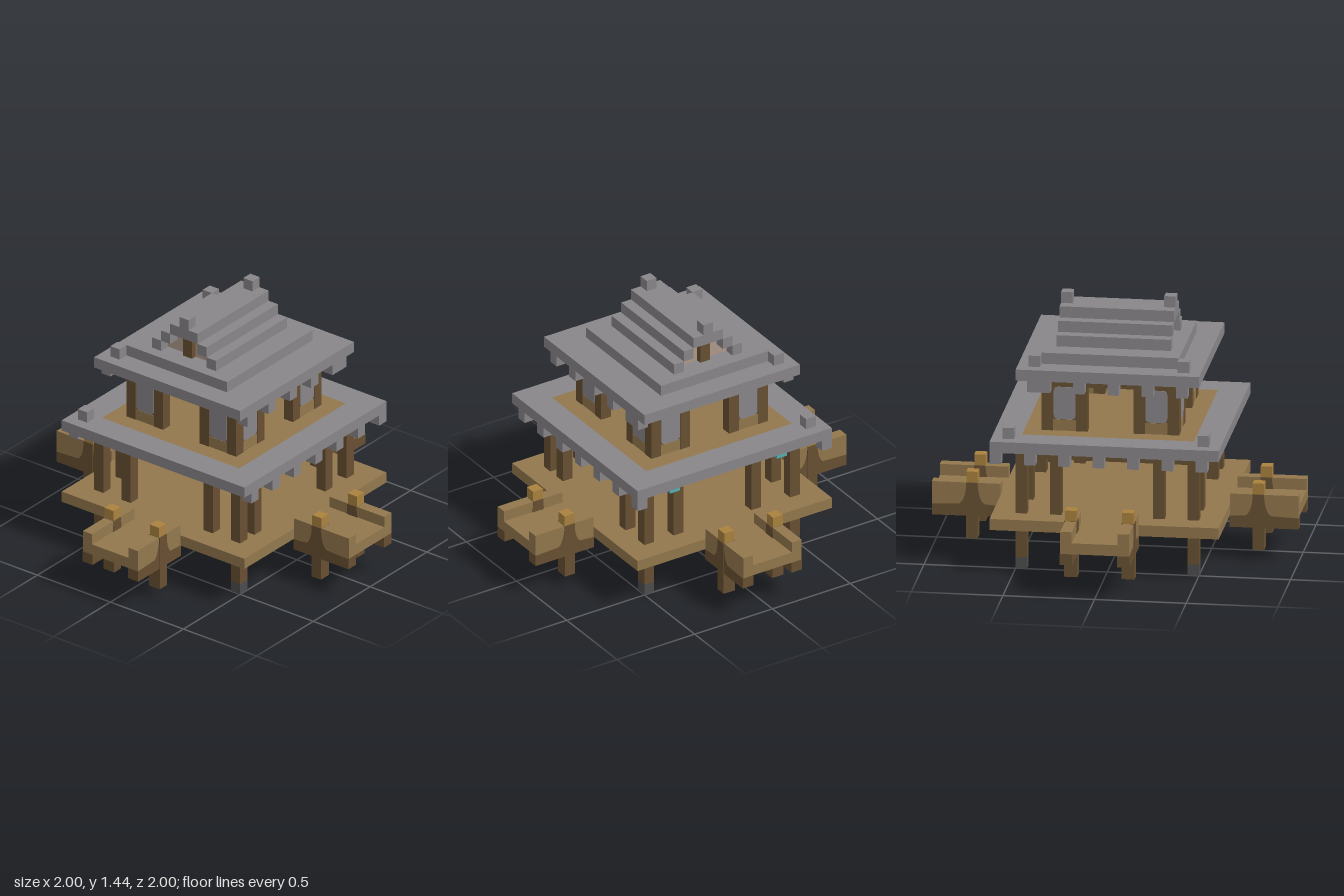
import * as THREE from 'three';

const U = 1 / 16; // one block
const mat = (name, color) => {
  const m = new THREE.MeshStandardMaterial({ color });
  m.name = name;
  return m;
};

export function createModel() {
  const slate = mat('slate grey', 0x888688);
  const plank = mat('plank tan', 0x92774d);
  const timber = mat('dark timber', 0x685032);
  const amber = mat('amber wood', 0xaa823f);
  const teal = mat('teal lantern', 0x4fb0b2);
  const plaster = mat('pink plaster', 0xb09a8c);
  const stone = mat('dark stone', 0x4c4c4e);

  const model = new THREE.Group();
  model.name = 'pavilion';

  // box from min and max corners, in blocks
  const box = (parent, name, m, x0, x1, y0, y1, z0, z1) => {
    const mesh = new THREE.Mesh(new THREE.BoxGeometry((x1 - x0) * U, (y1 - y0) * U, (z1 - z0) * U), m);
    mesh.position.set((x0 + x1) * U / 2, (y0 + y1) * U / 2, (z0 + z1) * U / 2);
    mesh.name = name;
    parent.add(mesh);
    return mesh;
  };
  // flat shape in the xy plane, in blocks, extruded along z
  const slab = (parent, name, m, shape, depth, z0) => {
    const geo = new THREE.ExtrudeGeometry(shape, { depth, bevelEnabled: false, curveSegments: 5 });
    geo.translate(0, 0, z0);
    geo.scale(U, U, U);
    const mesh = new THREE.Mesh(geo, m);
    mesh.name = name;
    parent.add(mesh);
    return mesh;
  };
  const group = (name, parent = model) => {
    const g = new THREE.Group();
    g.name = name;
    parent.add(g);
    return g;
  };

  // main deck
  box(model, 'deck', plank, -10, 10, 4, 5, -10, 10);

  // corner posts with stone feet
  for (const x of [-8, 7]) for (const z of [-8, 7]) {
    box(model, 'postFoot', stone, x, x + 1, 0, 1, z, z + 1);
    box(model, 'cornerPost', timber, x, x + 1, 1, 10, z, z + 1);
  }
  // posts beside each corner
  const sidePosts = [[4, 7], [7, 4], [-6, 7], [-8, 4], [4, -8], [7, -4], [-5, -8], [-8, -5]];
  for (const [x, z] of sidePosts) box(model, 'sidePost', timber, x, x + 1, 5, 10, z, z + 1);

  // four walkways with railings
  const flare = new THREE.Shape();
  flare.moveTo(10, 3);
  flare.lineTo(16, 3);
  flare.lineTo(16, 4);
  flare.lineTo(13.6, 4.1);
  flare.quadraticCurveTo(13.1, 4.4, 13, 5.8);
  flare.lineTo(12, 5.8);
  flare.quadraticCurveTo(11.9, 4.4, 11.4, 4.1);
  flare.lineTo(10, 4);
  for (let i = 0; i < 4; i++) {
    const walk = group('walkway');
    box(walk, 'walkwayFloor', plank, 10, 16, 4, 5, -2, 2);
    for (const z of [-3, 2]) {
      box(walk, 'rail', plank, 10, 16, 4, 6, z, z + 1);
      slab(walk, 'railBase', timber, flare, 1.1, z - 0.05);
      box(walk, 'railPost', timber, 12, 13, 1, 6.02, z - 0.08, z + 1.08);
      box(walk, 'railPostCap', amber, 12, 13, 6.02, 7, z, z + 1);
    }
    walk.rotation.y = i * Math.PI / 2;
  }

  // lower roof: beams, slab rim, floor and rafter ends
  const lower = group('lowerRoof');
  for (const z of [-8, 7]) box(lower, 'beam', timber, -7, 7, 10, 11, z, z + 1);
  box(lower, 'beam', timber, 7, 8, 10, 11, -8, 9);
  box(lower, 'beam', timber, -8, -7, 10, 11, -8, 9);
  box(lower, 'upperFloor', plank, -7.5, 7.5, 11, 12, -7.5, 7.5);
  for (const s of [-1, 1]) {
    box(lower, 'eave', slate, -10, 10, 11, 12, s > 0 ? 7.5 : -10, s > 0 ? 10 : -7.5);
    box(lower, 'eave', slate, s > 0 ? 7.5 : -10, s > 0 ? 10 : -7.5, 11, 12, -7.5, 7.5);
  }
  for (let x = -9; x <= 9; x += 3) for (const z of [-10, 9])
    box(lower, 'rafterEnd', slate, x, x + 1, 10, 11, z, z + 1);
  for (const x of [-9, 8]) box(lower, 'roofCornerBlock', slate, x, x + 1, 12, 13, -9, -8);
  for (const z of [-6, 5]) box(lower, 'lantern', teal, 8, 9, 10, 11, z, z + 1);

  // upper storey: L-shaped corner walls with rounded windows
  const pane = new THREE.Shape();
  const [l, r, b, t, c] = [3.05, 4.95, 13.05, 15.95, 0.4];
  pane.moveTo(l + c, b);
  pane.lineTo(r - c, b);
  pane.quadraticCurveTo(r, b, r, b + c);
  pane.lineTo(r, t - c);
  pane.quadraticCurveTo(r, t, r - c, t);
  pane.lineTo(l + c, t);
  pane.quadraticCurveTo(l, t, l, t - c);
  pane.lineTo(l, b + c);
  pane.quadraticCurveTo(l, b, l + c, b);
  for (let i = 0; i < 4; i++) {
    const side = group('upperWall');
    for (const s of [-1, 1]) {
      const span = (a, d) => (s > 0 ? [a, d] : [-d, -a]);
      if (s > 0) box(side, 'wallCornerPost', timber, 5, 6, 12, 16, 5, 6);
      box(side, 'wallPost', timber, ...span(2, 3), 12, 16, 5, 6);
      box(side, 'wallSill', plank, ...span(3, 5), 12, 13, 5.05, 5.95);
      box(side, 'wallPanel', timber, ...span(3, 5), 13, 16, 5.1, 5.9);
      for (const z of [5.0, 5.9]) {
        const w = slab(side, 'window', slate, pane, 0.08, z + 0.01);
        if (s < 0) w.position.x = -8 * U;
      }
    }
    side.rotation.y = i * Math.PI / 2;
  }

  // upper roof: beams, rafter ends and stepped slabs
  const upper = group('upperRoof');
  for (const z of [-6, 5]) box(upper, 'beam', timber, -5, 5, 16, 17, z, z + 1);
  for (const x of [-6, 5]) box(upper, 'beam', timber, x, x + 1, 16, 17, -6, 7);
  for (const z of [-8, 7]) {
    for (let x = -7; x <= 2; x += 3) box(upper, 'rafterEnd', slate, x, x + 1, 16, 17, z, z + 1);
    box(upper, 'rafterEnd', slate, 5, 7, 16, 17, z, z + 1);
  }
  box(upper, 'eaveSlab', slate, -8, 8, 17, 18, -8, 8);
  box(upper, 'roofStep', slate, -6, 6, 18, 19, -6, 5);
  for (const x of [-7, 6]) box(upper, 'roofCornerBlock', slate, x, x + 1, 18, 19, -7, -6);

  // gabled top with recessed ends
  const top = group('gableRoof');
  for (let i = 0; i < 2; i++) {
    box(top, 'gableStep', slate, -5, 5, 19 + i, 20 + i, 2 - i, 3 - i);
    box(top, 'gableStep', slate, -5, 5, 19 + i, 20 + i, -4 + i, -3 + i);
    box(top, 'gableCore', slate, -3.9, 3.9, 19 + i, 20 + i, -3 + i, 2 - i);
  }
  box(top, 'ridgeCap', slate, -5, 5, 21, 22, -2, 1);
  for (const x of [-5, 4]) box(top, 'ridgeBlock', slate, x, x + 1, 22, 23, -1, 0);

  // plaster gable plates, split by a king post
  const gable = new THREE.Shape([
    [-2.5, 19], [2.5, 19], [2.5, 19.6], [2.1, 20], [1.5, 20.2], [1.3, 20.8],
    [1, 21], [-1, 21], [-1.3, 20.8], [-1.5, 20.2], [-2.1, 20], [-2.5, 19.6],
  ].map(([x, y]) => new THREE.Vector2(x, y)));
  for (const s of [-1, 1]) {
    const plate = slab(top, 'gablePlate', plaster, gable, 0.1, 3.9);
    plate.rotation.y = s * Math.PI / 2;
    plate.position.z = -0.5 * U;
    box(top, 'kingPost', timber, s > 0 ? 3.9 : -4.5, s > 0 ? 4.5 : -3.9, 19, 21, -1, 0);
  }
  return model;
}
